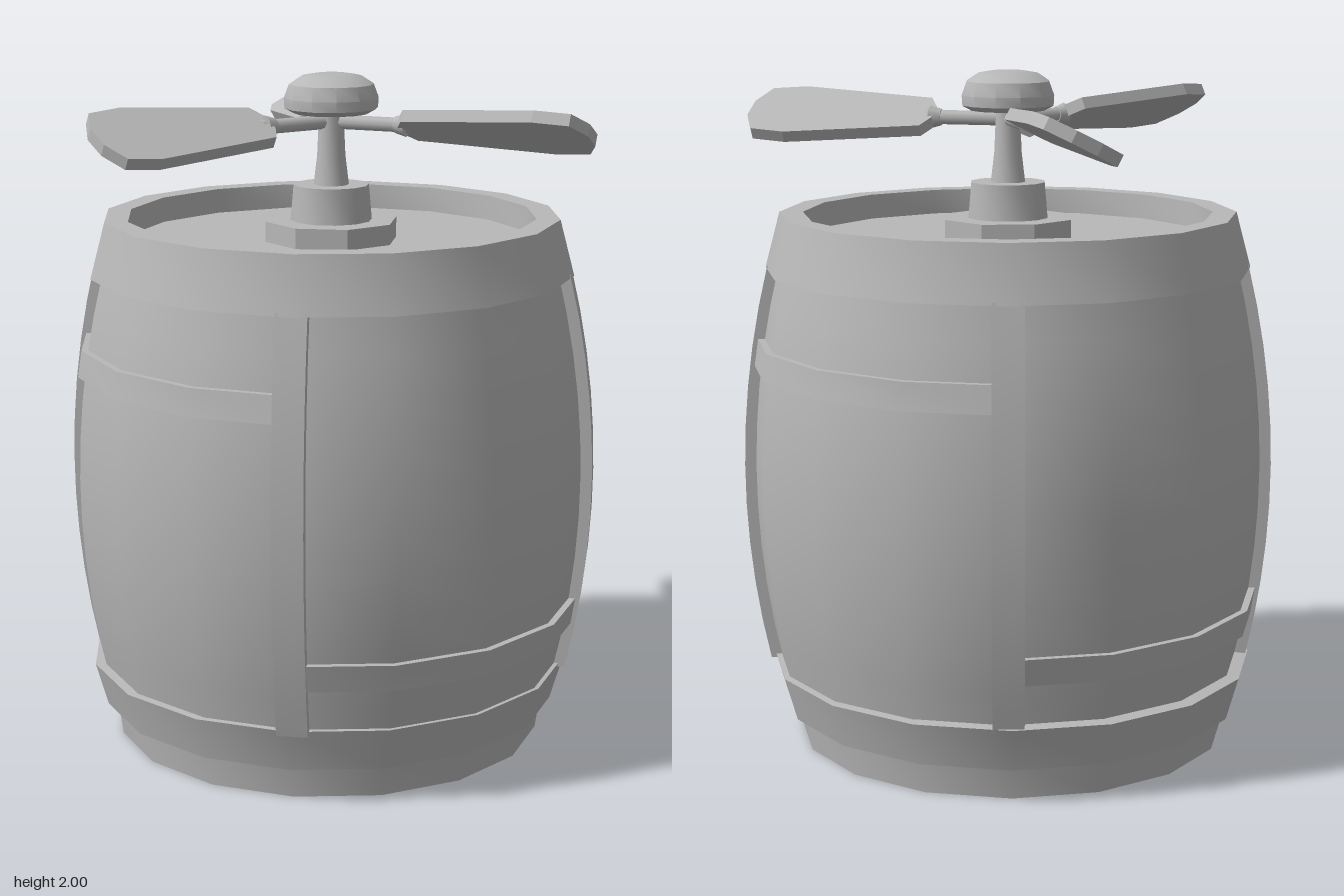
import * as THREE from 'three';
import { toCreasedNormals } from 'three/addons/utils/BufferGeometryUtils.js';

export function createModel() {
  const root = new THREE.Group();
  root.position.z = -0.016;
  const grey = new THREE.MeshStandardMaterial({ color: 0xb8b8b8 });
  const SIDES = 16;

  function add(name, geometry, parent = root) {
    const mesh = new THREE.Mesh(geometry, grey);
    mesh.name = name;
    parent.add(mesh);
    return mesh;
  }
  const lathe = (points, sides = SIDES, start = 0, length = Math.PI * 2) => toCreasedNormals(
    new THREE.LatheGeometry(points.map(([r, y]) => new THREE.Vector2(r, y)), sides, start, length), 0.6);

  // Bulging stave outline: radius at a height, sampled between two heights
  const bulge = y => 0.767 - 0.2 * (y - 0.8) ** 2;
  const outline = (y0, y1, steps, offset = 0) => Array.from({ length: steps + 1 }, (_, i) => {
    const y = y0 + (y1 - y0) * i / steps;
    return [bulge(y) + offset, y];
  });

  // Barrel body, foot and hoops
  add('barrelBody', lathe(outline(0.2, 1.44, 10)));
  const foot = add('barrelFoot', lathe([[0, 0], [0.646, 0], [0.662, 0.11]]));
  const lowerHoop = add('lowerHoop', lathe([[0.64, 0.1], [0.69, 0.1], [0.727, 0.23], [0.68, 0.235]]));
  foot.position.x = lowerHoop.position.x = -0.015;
  // Top hoop with the recessed lid
  add('upperHoopAndLid', lathe([[0.67, 1.42], [0.722, 1.42], [0.678, 1.585], [0.608, 1.585], [0.605, 1.51], [0, 1.51]]));

  // Raised vertical straps on the diagonals, and cross bands between them
  const strapPoints = [...outline(0.22, 1.43, 10, 0.025), ...outline(0.22, 1.43, 10, -0.05).reverse()];
  const strapShape = new THREE.Shape(strapPoints.map(([x, y]) => new THREE.Vector2(x, y)));
  const strapGeometry = toCreasedNormals(
    new THREE.ExtrudeGeometry(strapShape, { depth: 0.09, bevelEnabled: false }).translate(0, 0, -0.045), 0.6);
  for (let i = 0; i < 4; i++) {
    add('verticalStrap', strapGeometry).rotation.y = Math.PI / 4 + i * Math.PI / 2;
    const [low, high] = i % 2 ? [0.36, 0.44] : [1.13, 1.21];
    const band = [[bulge(low) - 0.02, low], ...outline(low, high, 1, 0.02), [bulge(high) - 0.02, high]];
    add('crossBand', lathe(band, 4, i * Math.PI / 2 - Math.PI / 4, Math.PI / 2));
  }

  // Octagonal plinth, pedestal and mast
  const plinth = new THREE.CylinderGeometry(0.2, 0.2, 0.06, 8).rotateY(Math.PI / 8).translate(0, 1.54, 0);
  add('plinth', toCreasedNormals(plinth, 0.6));
  add('pedestal', lathe([[0.122, 1.56], [0.112, 1.675], [0, 1.675]], 12));
  add('mast', lathe([[0.053, 1.67], [0.042, 1.76], [0.036, 1.89]], 12));
  add('hubCap', lathe([[0, 1.88], [0.11, 1.885], [0.138, 1.9], [0.14, 1.93],
    [0.125, 1.97], [0.09, 1.993], [0.05, 2], [0, 2]], 12));

  // Three pitched propeller blades on short arms
  const half = [[0.032, 0.225], [0.078, 0.25], [0.13, 0.66], [0.115, 0.765], [0.04, 0.8]];
  const bladeShape = new THREE.Shape([...half, ...half.map(([x, y]) => [-x, y]).reverse()]
    .map(([x, y]) => new THREE.Vector2(x, y)));
  const bladeGeometry = new THREE.ExtrudeGeometry(bladeShape, { depth: 0.036, bevelEnabled: false })
    .translate(0, 0, -0.018).rotateX(Math.PI / 2).rotateZ(-0.47);
  const armGeometry = new THREE.CylinderGeometry(0.021, 0.021, 0.25, 8).rotateX(Math.PI / 2).translate(0, 0, 0.125);
  const socketGeometry = new THREE.CylinderGeometry(0.034, 0.024, 0.035, 8).rotateX(Math.PI / 2).translate(0, 0, 0.22);
  for (let i = 0; i < 3; i++) {
    const blade = new THREE.Group();
    blade.name = 'propellerBlade';
    blade.position.y = 1.86;
    blade.rotation.y = i * Math.PI * 2 / 3;
    add('blade', bladeGeometry, blade);
    add('bladeArm', armGeometry, blade);
    add('bladeSocket', socketGeometry, blade);
    root.add(blade);
  }

  const model = new THREE.Group();
  model.name = 'propellerBarrel';
  model.add(root);
  return model;
}
